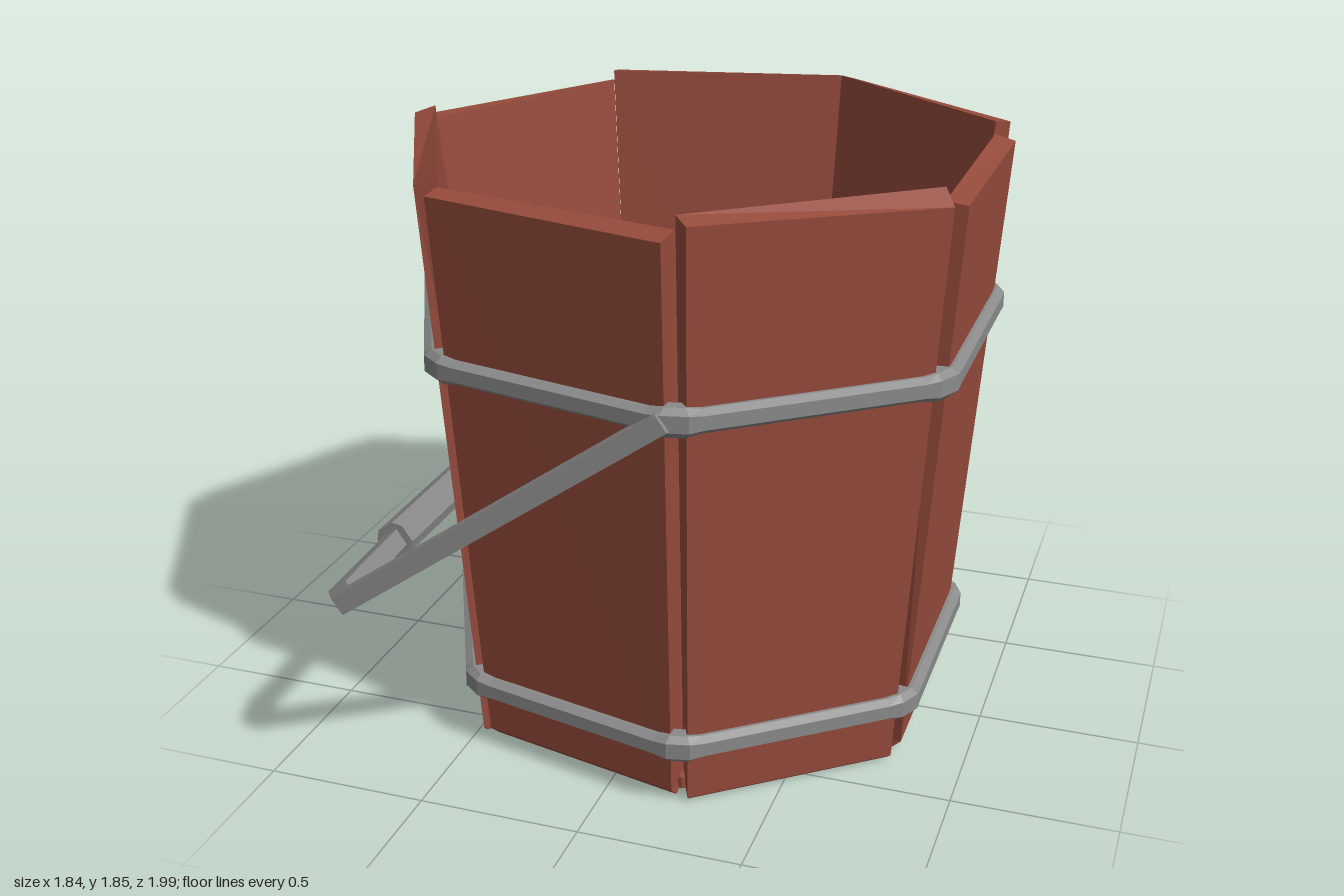
import * as THREE from 'three';

const SIDES = 7;
const STEP = (Math.PI * 2) / SIDES;
const CX = 0.05, CZ = -0.045; // axis of the bucket body
const V = (x, y, z) => new THREE.Vector3(x, y, z);

// Skin a list of equal-sized cross-sections; capped unless closed into a loop.
function loft(sections, closed = false) {
  const pos = [];
  const n = sections[0].length;
  const tri = (a, b, c) => pos.push(...a.toArray(), ...b.toArray(), ...c.toArray());
  const count = closed ? sections.length : sections.length - 1;
  for (let i = 0; i < count; i++) {
    const a = sections[i], b = sections[(i + 1) % sections.length];
    for (let j = 0; j < n; j++) {
      const k = (j + 1) % n;
      tri(a[j], a[k], b[k]);
      tri(a[j], b[k], b[j]);
    }
  }
  if (!closed) {
    const first = sections[0], last = sections[sections.length - 1];
    for (let j = 1; j < n - 1; j++) {
      tri(first[0], first[j + 1], first[j]);
      tri(last[0], last[j], last[j + 1]);
    }
  }
  // Turn the faces outward when the enclosed volume is negative.
  let volume = 0;
  const a = V(), b = V(), c = V();
  for (let i = 0; i < pos.length; i += 9) {
    a.fromArray(pos, i); b.fromArray(pos, i + 3); c.fromArray(pos, i + 6);
    volume += a.dot(b.cross(c));
  }
  if (volume < 0) {
    for (let i = 0; i < pos.length; i += 9) {
      for (let j = 0; j < 3; j++) {
        [pos[i + 3 + j], pos[i + 6 + j]] = [pos[i + 6 + j], pos[i + 3 + j]];
      }
    }
  }
  const geo = new THREE.BufferGeometry();
  geo.setAttribute('position', new THREE.Float32BufferAttribute(pos, 3));
  geo.computeVertexNormals();
  return geo;
}

// Point at distance r along a side's normal and s along its width.
function onSide(angle, r, s, y) {
  const c = Math.cos(angle), n = Math.sin(angle);
  return V(CX + c * r - n * s, y, CZ + n * r + c * s);
}

const sideAngle = (k) => Math.PI + (k + 0.5) * STEP;

// Per plank: outer top at start and end, inner top, bottom bevel.
const PLANKS = [
  [1.81, 1.79, 1.81, 0.012],
  [1.83, 1.82, 1.84, 0.012],
  [1.82, 1.83, 1.84, 0.02],
  [1.785, 1.79, 1.80, 0.04],
  [1.80, 1.825, 1.84, 0.012],
  [1.78, 1.79, 1.80, 0.035],
  [1.805, 1.83, 1.85, 0.008],
];

function plank(k) {
  const [start, end, inner, bevel] = PLANKS[k];
  const angle = sideAngle(k);
  const section = (ro, ho, ri, hi, ys, ye, yi) => [
    onSide(angle, ro, -ho, ys), onSide(angle, ro, ho, ye),
    onSide(angle, ri, hi, yi), onSide(angle, ri, -hi, yi),
  ];
  return loft([
    section(0.75 - bevel, 0.33, 0.63, 0.303, 0, 0, 0),
    section(0.752, 0.335, 0.633, 0.305, bevel, bevel, bevel),
    section(0.875, 0.385, 0.81, 0.39, start, end, inner),
  ]);
}

// Metal band with a short chamfer and a slight bulge over every plank joint.
function band(y, r, half) {
  const profile = [[-0.03, 0.036], [0.012, 0.036], [0.035, 0.022],
    [0.035, -0.02], [0.005, -0.04], [-0.03, -0.04]];
  const sections = [];
  for (let k = 0; k < SIDES; k++) {
    for (const [s, size] of [[-half, 1.2], [-half + 0.045, 1], [half - 0.045, 1], [half, 1.2]]) {
      sections.push(profile.map(([dr, dy]) => onSide(sideAngle(k), r + dr, s, y + dy * size)));
    }
  }
  return loft(sections, true);
}

// Handle plane: u runs down its slope, z across, w is its normal.
const SLOPE = V(-0.823, -0.568, 0);
const NORMAL = V(-0.568, 0.823, 0);
const PIVOT = V(0.23, 1.28, 0);
const handlePoint = (u, z, w) => PIVOT.clone()
  .addScaledVector(SLOPE, u).addScaledVector(NORMAL, w).add(V(0, 0, z));

// Mitred bar through (u, z) points with a chamfered square section.
function bar(path, size, chamfer) {
  const h = size / 2, c = h - chamfer;
  const outline = chamfer
    ? [[h, c], [c, h], [-c, h], [-h, c], [-h, -c], [-c, -h], [c, -h], [h, -c]]
    : [[h, h], [-h, h], [-h, -h], [h, -h]];
  const points = path.map(([u, z]) => new THREE.Vector2(u, z));
  return loft(points.map((p, i) => {
    const before = p.clone().sub(points[Math.max(i - 1, 0)]).normalize();
    const after = points[Math.min(i + 1, points.length - 1)].clone().sub(p).normalize();
    const dir = before.clone().add(after).normalize();
    const mitre = 1 / Math.max(dir.dot(i ? before : after), 0.5);
    return outline.map(([a, w]) => handlePoint(p.x - dir.y * a * mitre, p.y + dir.x * a * mitre, w));
  }));
}

export function createModel() {
  const wood = new THREE.MeshStandardMaterial({ color: 0x964b3c, flatShading: true });
  wood.name = 'red wood';
  const metal = new THREE.MeshStandardMaterial({ color: 0x8a8a8a, flatShading: true });
  metal.name = 'grey metal';

  const model = new THREE.Group();
  model.name = 'bucket';
  const add = (name, geometry, material) => {
    const mesh = new THREE.Mesh(geometry, material);
    mesh.name = name;
    model.add(mesh);
  };

  // Staves
  for (let k = 0; k < SIDES; k++) add('plank' + (k + 1), plank(k), wood);

  // Floor board
  const floorRing = (r, y) => Array.from({ length: SIDES }, (_, k) =>
    V(CX + r * Math.cos(Math.PI + k * STEP), y, CZ + r * Math.sin(Math.PI + k * STEP)));
  add('floor', loft([floorRing(0.76, 0.002), floorRing(0.76, 0.04)]), wood);

  // Bands
  add('upperBand', band(1.272, 0.838, 0.375), metal);
  add('lowerBand', band(0.2, 0.765, 0.345), metal);

  // Swinging handle and its grip
  add('handle', bar([[0, -0.968], [1.16, -0.968], [1.25, -0.85], [1.305, -0.42],
    [1.305, 0.42], [1.25, 0.85], [1.16, 0.965], [0, 0.875]], 0.06, 0), metal);
  add('handleGrip', bar([[1.305, -0.42], [1.31, 0], [1.305, 0.42]], 0.11, 0.025), metal);

  return model;
}
